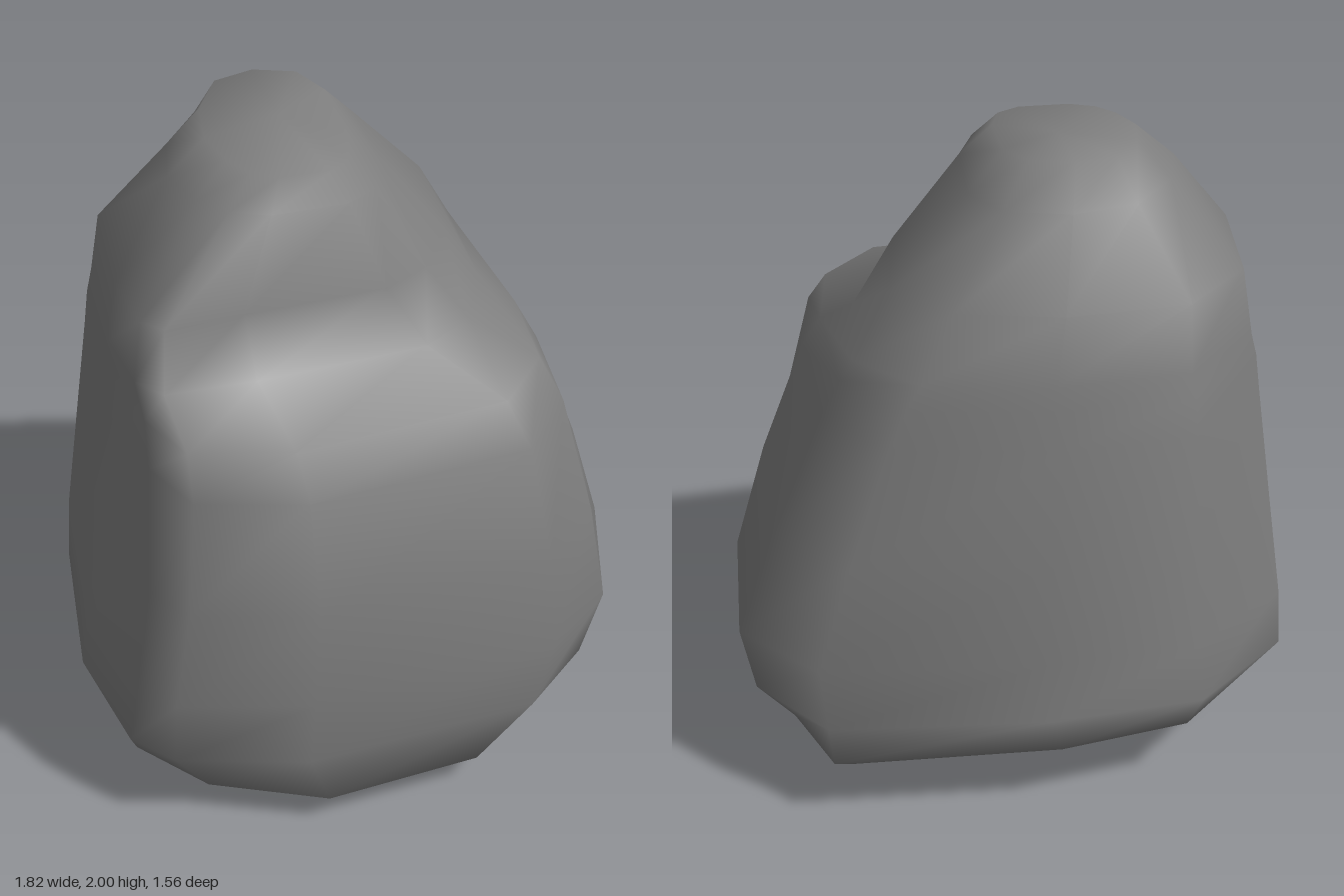
import * as THREE from 'three';

// Plan outlines in unit range [x, z], counterclockwise seen from above
const BASE = [[-.35, 1], [.2, 1], [.5, .72], [.82, .2], [.97, -.45], [.92, -.88],
  [.05, -1], [-.45, -.92], [-.8, -.52], [-1, -.04], [-.97, .4], [-.75, .74]];
const BODY = [[-.45, .98], [.43, 1], [.71, .78], [.92, .23], [1, -.47], [.78, -.84],
  [.05, -1], [-.49, -1], [-.87, -.67], [-1, .09], [-.97, .62], [-.88, .78]];
const LEDGE = [[-.45, .98], [.57, .96], [.86, .69], [.97, .2], [1, -.47], [.78, -.84],
  [.07, -1], [-.49, -1], [-.88, -.65], [-1, .09], [-.98, .5], [-.89, .81]];
const UPPER = [[-.48, .96], [.3, 1], [.58, .86], [.84, .45], [1, -.37], [.74, -.79],
  [.2, -1], [-.46, -1], [-.86, -.56], [-1, .3], [-1, .8], [-.91, .95]];
const TOP = [[-.4, .95], [.3, 1], [.64, .85], [.86, .45], [1, -.4], [.8, -.82],
  [.24, -1], [-.36, -.92], [-.8, -.48], [-1, .05], [-.9, .5], [-.72, .78]];
const OUTLINES = [BASE, BODY, LEDGE, UPPER, TOP];

// Sections: height at the front, rise to the back, x range, z range, position in the outline list
const SECTIONS = [
  [0, .12, -.66, .65, -.63, .61, 0],
  [.11, .11, -.85, .77, -.78, .74, .2],
  [.3, .02, -.91, .87, -.775, .77, .85],
  [.52, 0, -.885, .91, -.77, .775, 1],
  [.86, 0, -.825, .79, -.77, .785, 1.3],
  [1.22, 0, -.765, .635, -.735, .71, 1.9],
  [1.335, 0, -.745, .575, -.715, .61, 2],
  [1.41, 0, -.73, .54, -.705, .33, 2.7],
  [1.61, 0, -.7, .425, -.67, .275, 3],
  [1.87, 0, -.49, .18, -.55, .195, 4],
  [1.95, .05, -.37, .07, -.48, .13, 4],
];

// Skin the sections and close both ends with a fan
function loftBoulder() {
  const n = BASE.length, pos = [], idx = [];
  for (const [y, rise, x0, x1, z0, z1, shape] of SECTIONS) {
    const lower = OUTLINES[Math.floor(shape)], upper = OUTLINES[Math.ceil(shape)];
    for (let j = 0; j < n; j++) {
      const u = THREE.MathUtils.lerp(lower[j][0], upper[j][0], shape % 1);
      const v = THREE.MathUtils.lerp(lower[j][1], upper[j][1], shape % 1);
      pos.push((x0 + x1) / 2 + u * (x1 - x0) / 2, y + rise * (1 - v) / 2, (z0 + z1) / 2 + v * (z1 - z0) / 2);
    }
  }
  const top = (SECTIONS.length - 1) * n, bottomCentre = top + n, topCentre = bottomCentre + 1;
  pos.push(-.05, .05, 0, -.12, 1.985, -.2);
  for (let j = 0; j < n; j++) {
    const k = (j + 1) % n;
    for (let r = 0; r < top; r += n) idx.push(r + j, r + k, r + n + k, r + j, r + n + k, r + n + j);
    idx.push(bottomCentre, k, j, topCentre, top + j, top + k);
  }
  const g = new THREE.BufferGeometry();
  g.setAttribute('position', new THREE.Float32BufferAttribute(pos, 3));
  g.setIndex(idx);
  g.computeVertexNormals();
  return g;
}

export function createModel() {
  const group = new THREE.Group();
  group.name = 'rock';
  const boulder = new THREE.Mesh(loftBoulder(), new THREE.MeshStandardMaterial({ color: 0x7f7f7f }));
  boulder.name = 'boulder';
  group.add(boulder);
  return group;
}
